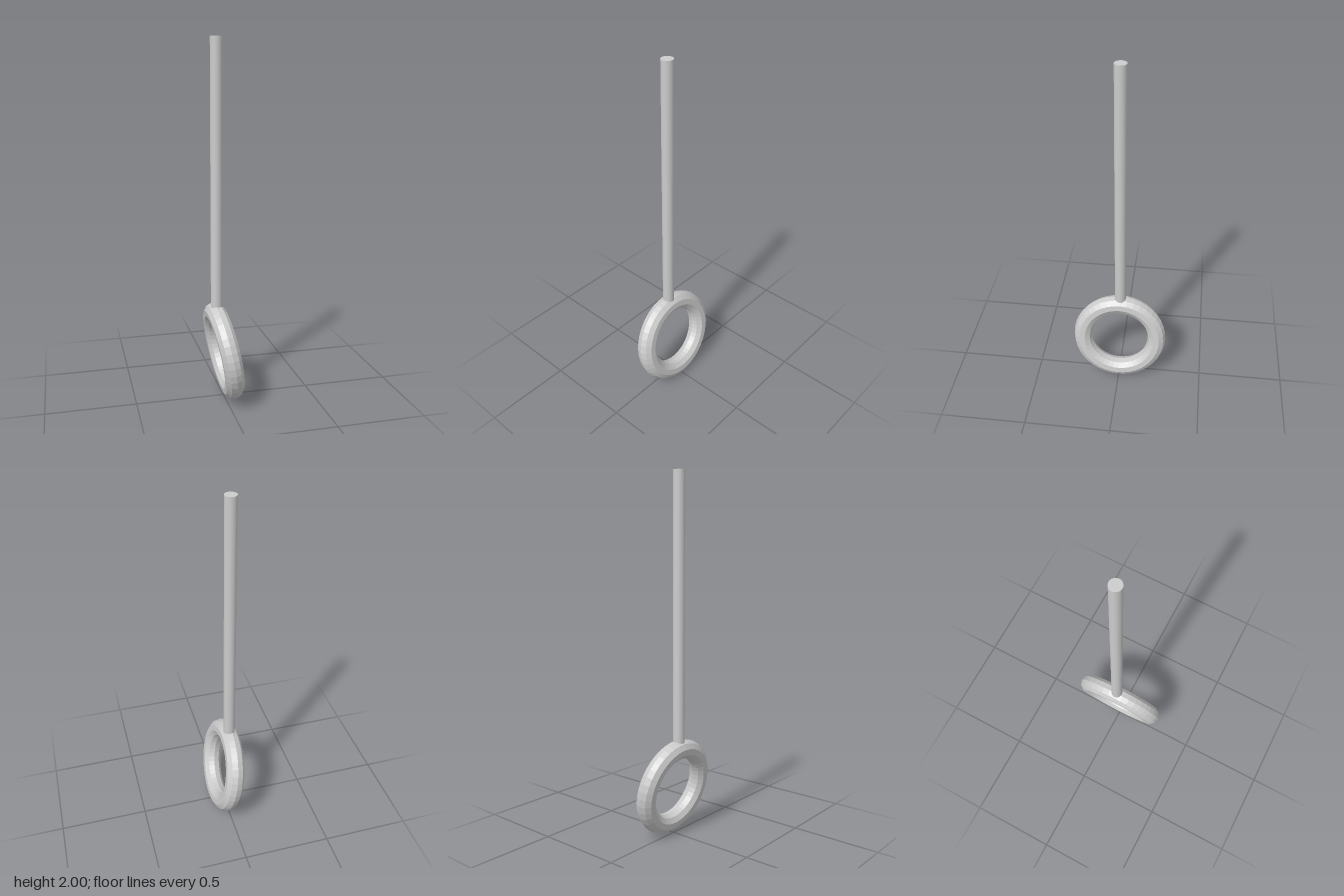
import * as THREE from 'three';

export function createModel() {
  const group = new THREE.Group();
  const tilt = THREE.MathUtils.degToRad(10);
  const ringRadius = 0.224, tubeRadius = 0.054;
  const centreY = (ringRadius + tubeRadius) * Math.cos(tilt);

  // Faceted ring, facing sideways with its top leaning toward -x
  const ringGeometry = new THREE.TorusGeometry(ringRadius, tubeRadius, 10, 40);
  ringGeometry.rotateY(Math.PI / 2).rotateZ(tilt);
  const ring = new THREE.Mesh(
    ringGeometry,
    new THREE.MeshStandardMaterial({ color: 0xcccccc, flatShading: true })
  );
  ring.name = 'ring';
  ring.position.y = centreY;
  group.add(ring);

  // Upright round rod, sunk slightly into the top of the ring
  const rodBottom = 0.535, rodTop = 2;
  const rod = new THREE.Mesh(
    new THREE.CylinderGeometry(0.0325, 0.0325, rodTop - rodBottom, 48),
    new THREE.MeshStandardMaterial({ color: 0xcccccc })
  );
  rod.name = 'rod';
  rod.position.set(-0.038, (rodTop + rodBottom) / 2, 0);
  group.add(rod);

  return group;
}
